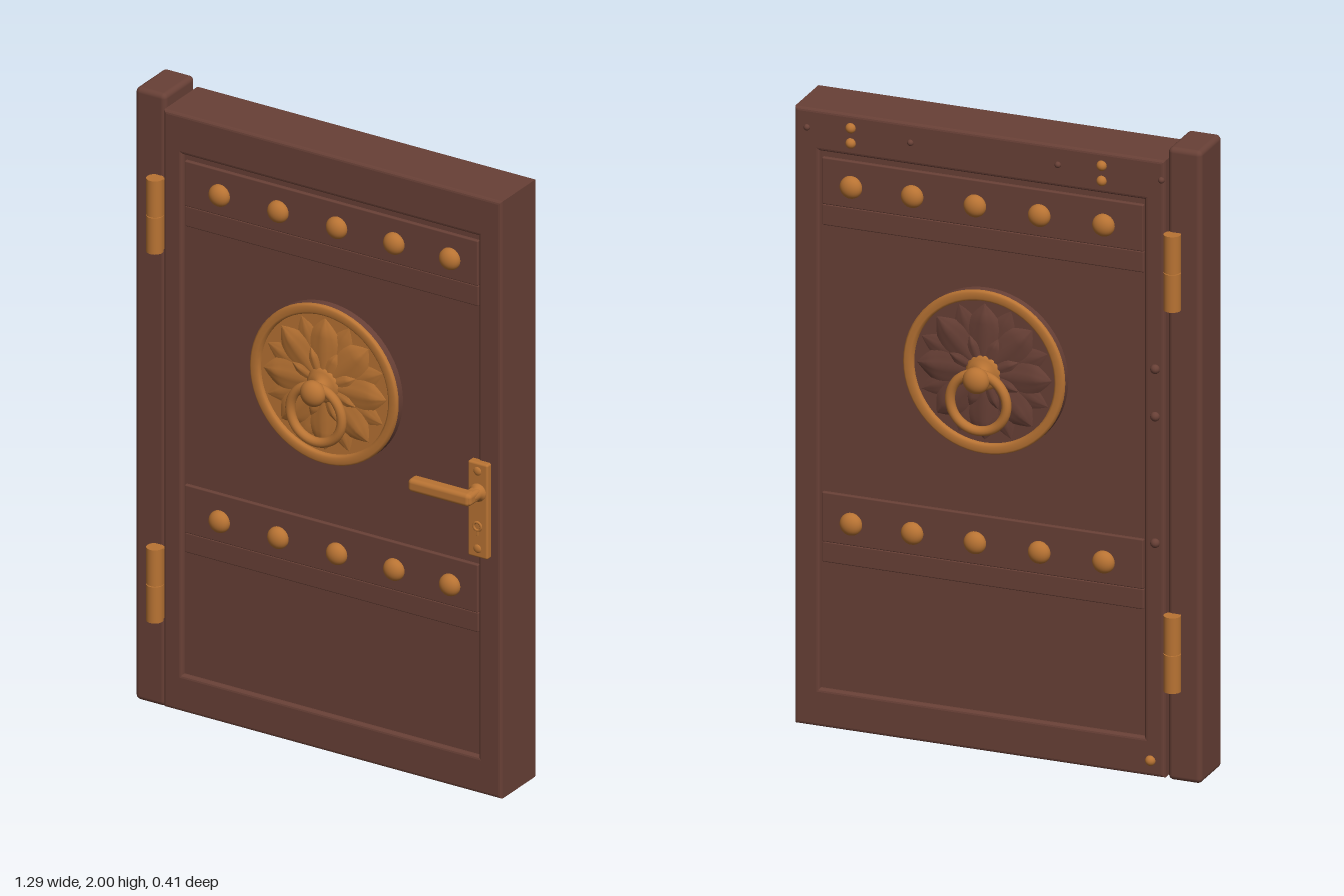
import * as THREE from 'three';
import { RoundedBoxGeometry } from 'three/addons/geometries/RoundedBoxGeometry.js';

const wood = new THREE.MeshStandardMaterial({ color: 0x684036 });
wood.name = 'brown wood';
const copper = new THREE.MeshStandardMaterial({ color: 0xb87333 });
copper.name = 'copper';

const MID_Z = -0.0125; // middle of the door leaf
const HALF = 0.0975;   // half of its thickness

function add(parent, name, geometry, material, x = 0, y = 0, z = 0) {
  const mesh = new THREE.Mesh(geometry, material);
  mesh.name = name;
  mesh.position.set(x, y, z);
  parent.add(mesh);
  return mesh;
}

// Rounded box given by its limits
function box(parent, name, material, [x0, x1], [y0, y1], [z0, z1], r = 0.01) {
  return add(parent, name, new RoundedBoxGeometry(x1 - x0, y1 - y0, z1 - z0, 3, r), material,
    (x0 + x1) / 2, (y0 + y1) / 2, (z0 + z1) / 2);
}

function rectangle(path, x0, x1, y0, y1) {
  path.moveTo(x0, y0);
  path.lineTo(x1, y0);
  path.lineTo(x1, y1);
  path.lineTo(x0, y1);
  path.closePath();
  return path;
}

// Lathe whose axis points along +z
function turned(points, segments = 64) {
  return new THREE.LatheGeometry(points.map(([r, h]) => new THREE.Vector2(r, h)), segments).rotateX(Math.PI / 2);
}

// Pointed, domed petal growing along +y, with a raised midrib
function petalGeometry(length, width, height) {
  const g = new THREE.PlaneGeometry(2, 1, 8, 14);
  const p = g.attributes.position;
  for (let i = 0; i < p.count; i++) {
    const s = p.getX(i), t = p.getY(i) + 0.5;
    const half = width / 2 * (0.25 * (1 - t) + Math.pow(Math.sin(Math.PI * Math.pow(t, 1.15)), 0.9));
    const rib = 0.25 * Math.max(0, 1 - Math.abs(s) * 4);
    const dome = (1 - s * s) * 0.75 + rib;
    p.setXYZ(i, s * Math.max(half, 0), t * length, height * dome * Math.min(1, 5 * (1 - t)));
  }
  g.computeVertexNormals();
  return g;
}

// Round flower plate with knob and hanging ring
function rosette(fieldMaterial) {
  const group = new THREE.Group();
  group.name = 'flowerKnocker';
  add(group, 'plateBody', turned([[0.257, -0.03], [0.257, 0.008]]), wood);
  add(group, 'plateField', new THREE.CircleGeometry(0.235, 64), fieldMaterial, 0, 0, 0.006);
  add(group, 'plateRim', turned([[0.257, 0.007], [0.256, 0.018], [0.25, 0.022], [0.233, 0.022],
    [0.226, 0.017], [0.225, 0.005]]), copper);
  const layers = [[0.218, 0.085, 0.008, Math.PI / 8], [0.215, 0.115, 0.015, 0]];
  layers.forEach(([length, width, height, turn], layer) => {
    const geometry = petalGeometry(length, width, height);
    for (let i = 0; i < 8; i++) {
      const petal = add(group, 'petal', geometry, fieldMaterial, 0, 0, 0.007 + layer * 0.002);
      petal.rotation.z = turn + i * Math.PI / 4;
    }
  });
  // Small inner leaves
  const leaf = petalGeometry(0.12, 0.055, 0.01);
  for (let i = 0; i < 8; i++) {
    add(group, 'innerLeaf', leaf, fieldMaterial, 0, 0, 0.015).rotation.z = (i + 0.5) * Math.PI / 4;
  }
  add(group, 'knobCollar', turned([[0.055, 0.008], [0.055, 0.022], [0.045, 0.03], [0.024, 0.036], [0.022, 0.065]], 32), copper);
  add(group, 'knob', new THREE.SphereGeometry(0.041, 32, 20), copper, 0, -0.005, 0.075).scale.z = 0.75;
  add(group, 'ring', new THREE.TorusGeometry(0.09, 0.015, 14, 48), copper, 0, -0.08, 0.058);
  group.position.set(0.035, 1.215, HALF - 0.0005);
  return group;
}

// Bands, mouldings, studs and rosette of one face; m = -1 turns it for the back
function doorFace(name, m, fieldMaterial) {
  const face = new THREE.Group();
  face.name = name;
  const across = m > 0 ? [-0.465, 0.56] : [-0.56, 0.465];
  for (const [low, step, high] of [[1.595, 1.662, 1.81], [0.53, 0.595, 0.752]]) {
    box(face, 'band', wood, across, [step, high], [HALF - 0.03, HALF - 0.005], 0.004);
    box(face, 'bandMoulding', wood, across, [low, step], [HALF - 0.03, HALF - 0.008], 0.004);
    for (const x of [-0.34, -0.135, 0.07, 0.27, 0.465]) {
      add(face, 'stud', new THREE.SphereGeometry(0.035, 24, 16), copper, x * m,
        low < 1 ? 0.665 : 1.73, HALF - 0.002).scale.z = 0.75;
    }
  }
  const knocker = rosette(fieldMaterial);
  knocker.position.x *= m;
  face.add(knocker);
  face.position.z = MID_Z;
  if (m < 0) face.rotation.y = Math.PI;
  return face;
}

export function createModel() {
  const model = new THREE.Group();
  model.name = 'door';

  // Hinge post
  box(model, 'hingePost', wood, [-0.645, -0.538], [0, 2], [-0.095, 0.07], 0.016);

  // Leaf: bevelled frame around a thinner panel
  const outline = rectangle(new THREE.Shape(), -0.535, 0.645, 0.01, 1.96);
  outline.holes.push(rectangle(new THREE.Path(), -0.47, 0.565, 0.13, 1.83));
  const bevel = 0.01;
  const frame = new THREE.ExtrudeGeometry(outline, {
    depth: 2 * (HALF - bevel), bevelEnabled: true, bevelThickness: bevel,
    bevelSize: bevel, bevelOffset: -bevel, bevelSegments: 3,
  });
  add(model, 'leafFrame', frame, wood, 0, 0, MID_Z - HALF + bevel);
  box(model, 'panel', wood, [-0.48, 0.575], [0.12, 1.84],
    [MID_Z - HALF + 0.016, MID_Z + HALF - 0.016], 0.002);

  model.add(doorFace('frontFace', 1, copper));
  model.add(doorFace('backFace', -1, wood));

  // Hinges on both faces
  for (const y of [0.41, 1.615]) {
    for (const z of [0.092, -0.11]) {
      for (const side of [-1, 1]) {
        add(model, 'hingeBarrel', new THREE.CylinderGeometry(0.026, 0.026, 0.118, 24), copper, -0.56, y + side * 0.0605, z);
      }
      add(model, 'hingePin', new THREE.CylinderGeometry(0.021, 0.021, 0.236, 20), copper, -0.56, y, z);
      box(model, 'hingeLeaf', copper, [-0.578, -0.536], [y - 0.115, y + 0.115],
        z > 0 ? [0.06, 0.095] : [-0.115, -0.085], 0.003);
    }
  }

  // Lock plate with screws and keyhole
  box(model, 'lockPlate', copper, [0.54, 0.61], [0.79, 1.1], [0.075, 0.105], 0.007);
  for (const y of [0.82, 1.073]) {
    add(model, 'plateScrew', new THREE.SphereGeometry(0.014, 16, 10), copper, 0.575, y, 0.104).scale.z = 0.5;
  }
  add(model, 'keyholeRing', new THREE.TorusGeometry(0.013, 0.004, 8, 24), copper, 0.575, 0.893, 0.105);
  box(model, 'keyholeSlot', copper, [0.571, 0.579], [0.862, 0.884], [0.1, 0.108], 0.002);

  // Lever handle
  add(model, 'leverCollar', turned([[0.028, 0.1], [0.028, 0.112], [0.02, 0.118], [0.018, 0.15]], 24), copper, 0.577, 1.005);
  box(model, 'leverNeck', copper, [0.557, 0.594], [0.986, 1.024], [0.11, 0.175], 0.012);
  box(model, 'lever', copper, [0.375, 0.59], [0.984, 1.026], [0.134, 0.178], 0.013);

  // Small fixings on the back of the frame
  const back = MID_Z - HALF;
  for (const x of [-0.335, 0.465]) {
    for (const y of [1.87, 1.918]) {
      add(model, 'backRivet', new THREE.SphereGeometry(0.016, 16, 12), copper, x, y, back);
    }
    for (const dx of [-0.19, 0.14]) {
      add(model, 'woodPeg', new THREE.SphereGeometry(0.01, 12, 8), wood, x + dx, 1.9, back);
    }
  }
  add(model, 'cornerRivet', new THREE.SphereGeometry(0.016, 16, 12), copper, -0.49, 0.06, back);
  for (const y of [0.75, 1.15, 1.3]) {
    add(model, 'woodPeg', new THREE.SphereGeometry(0.015, 12, 8), wood, -0.505, y, back);
  }
  return model;
}
